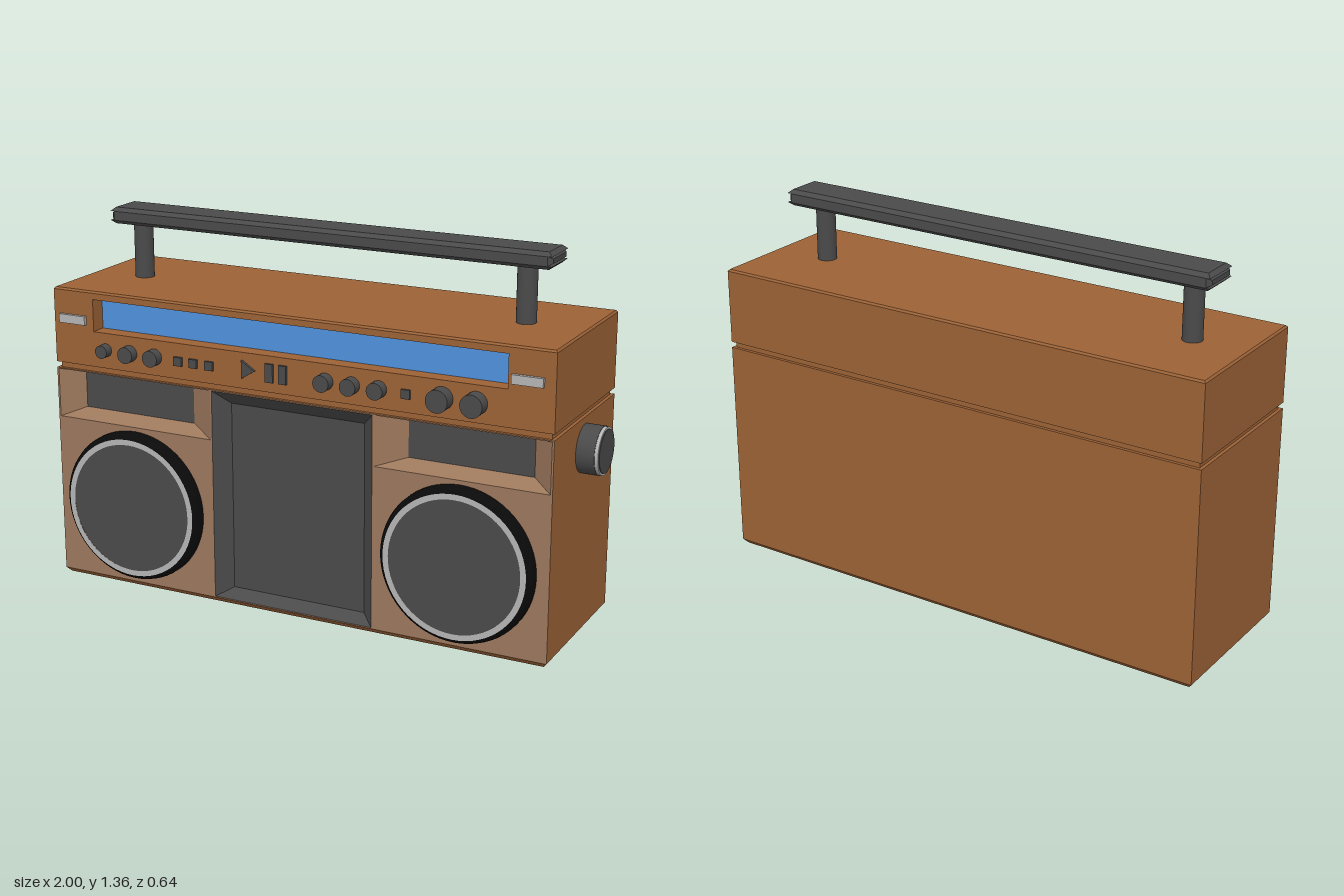
import * as THREE from 'three';

const mat = (color) => new THREE.MeshStandardMaterial({ color });
const CX = -0.04; // mirror line of the cabinet
const FRONT = 0.27, BACK = -0.32, INNER = 0.2;

export function createModel() {
  const model = new THREE.Group();
  const brown = mat(0x9c6236), tan = mat(0x9c775c), dark = mat(0x4a4a4a);
  const black = mat(0x0a0a0a), silver = mat(0xb4b4b4), blue = mat(0x4f92dd);

  const add = (name, geometry, material, x = 0, y = 0, z = 0) => {
    const mesh = new THREE.Mesh(geometry, material);
    mesh.name = name;
    mesh.position.set(x, y, z);
    model.add(mesh);
    return mesh;
  };

  // Box from its limits; its bottom or top outline can be drawn in as a chamfer
  const block = (name, material, [x0, x1], [y0, y1], [z0, z1], bottom = 0, top = 0) => {
    const g = new THREE.BoxGeometry(x1 - x0, y1 - y0, z1 - z0);
    const p = g.attributes.position;
    for (let i = 0; i < p.count; i++) {
      const inset = p.getY(i) < 0 ? bottom : top;
      p.setX(i, p.getX(i) - Math.sign(p.getX(i)) * inset);
      p.setZ(i, p.getZ(i) - Math.sign(p.getZ(i)) * inset);
    }
    g.computeVertexNormals();
    return add(name, g, material, (x0 + x1) / 2, (y0 + y1) / 2, (z0 + z1) / 2);
  };

  // Counterclockwise corners of a rectangle
  const corners = ([x0, x1, y0, y1]) =>
    [[x0, y0], [x1, y0], [x1, y1], [x0, y1]].map(([x, y]) => new THREE.Vector2(x, y));

  // Front plate with rectangular openings
  const plate = (name, outline, holes, face) => {
    const shape = new THREE.Shape(corners(outline));
    holes.forEach((h) => shape.holes.push(new THREE.Path(corners(h).reverse())));
    const g = new THREE.ExtrudeGeometry(shape, { depth: FRONT - INNER, bevelEnabled: false });
    add(name, g, [face, brown], 0, 0, INNER);
  };

  // Recess with four sloping walls and a flat back
  const recess = (name, outer, inner, depth, wallMaterial, backMaterial) => {
    const o = corners(outer), n = corners(inner), z = FRONT - depth, pos = [];
    for (let i = 0; i < 4; i++) {
      const j = (i + 1) % 4;
      const a = [o[i].x, o[i].y, FRONT], b = [o[j].x, o[j].y, FRONT];
      const c = [n[j].x, n[j].y, z], d = [n[i].x, n[i].y, z];
      pos.push(...a, ...b, ...c, ...a, ...c, ...d);
    }
    const g = new THREE.BufferGeometry();
    g.setAttribute('position', new THREE.Float32BufferAttribute(pos, 3));
    g.computeVertexNormals();
    add(name + 'Walls', g, wallMaterial);
    add(name + 'Back', new THREE.ShapeGeometry(new THREE.Shape(n)), backMaterial, 0, 0, z);
  };

  // Rectangle reflected across the cabinet's mirror line
  const flip = ([x0, x1, y0, y1]) => [2 * CX - x1, 2 * CX - x0, y0, y1];

  // Lower cabinet
  const W = [-1, 0.92];
  block('cabinetBase', brown, W, [0, 0.018], [BACK, FRONT], 0.015);
  block('lowerCabinet', brown, W, [0.018, 0.8], [BACK, INNER]);
  const nookOuter = [-0.993, -0.358, 0.615, 0.796], nookInner = [-0.915, -0.46, 0.645, 0.786];
  const bayOuter = [-0.352, 0.272, 0.022, 0.796], bayInner = [-0.3, 0.22, 0.05, 0.745];
  plate('lowerFront', [...W, 0.018, 0.8], [nookOuter, flip(nookOuter), bayOuter], tan);
  recess('rightNook', nookOuter, nookInner, 0.06, tan, dark);
  recess('leftNook', flip(nookOuter), flip(nookInner), 0.06, tan, dark);
  recess('centreBay', bayOuter, bayInner, 0.05, dark, dark);

  // Groove and upper cabinet
  block('groove', brown, [-0.988, 0.908], [0.8, 0.822], [BACK + 0.012, FRONT - 0.012]);
  block('upperCabinet', brown, W, [0.822, 1.093], [BACK, INNER]);
  block('cabinetTop', brown, W, [1.093, 1.1], [BACK, FRONT], 0, 0.006);
  const dial = [-0.835, 0.755, 0.952, 1.07];
  plate('upperFront', [...W, 0.822, 1.093], [dial], brown);
  add('dialDisplay', new THREE.ShapeGeometry(new THREE.Shape(corners(dial))), blue, 0, 0, 0.21);

  // Silver tabs beside the display
  block('rightTab', silver, [-0.973, -0.865], [0.974, 1.006], [0.26, 0.283]);
  block('leftTab', silver, [0.77, 0.88], [0.974, 1.006], [0.26, 0.283]);

  // Round speakers, turned from a profile and facing forward
  const lathe = (points) =>
    new THREE.LatheGeometry(points.map(([r, h]) => new THREE.Vector2(r, h)), 64).rotateX(Math.PI / 2);
  const flatRing = (rIn, rOut) => new THREE.RingGeometry(rIn, rOut, 64);
  for (const [side, x] of [['right', -0.675], ['left', 0.595]]) {
    const rim = lathe([[0.28, 0], [0.28, 0.018], [0.276, 0.03], [0.264, 0.044], [0.258, 0.045]]);
    add(side + 'SpeakerRim', rim, black, x, 0.32, FRONT);
    add(side + 'SpeakerRing', flatRing(0.24, 0.26), silver, x, 0.32, FRONT + 0.045);
    add(side + 'SpeakerGrille', new THREE.CircleGeometry(0.242, 64), dark, x, 0.32, FRONT + 0.042);
  }

  // Control row: round knobs, square buttons, play and pause keys
  const knobs = [[-0.785, 0.024, 0.035], [-0.685, 0.03, 0.035], [-0.582, 0.03, 0.035],
    [0.095, 0.03, 0.037], [0.195, 0.03, 0.037], [0.295, 0.03, 0.037],
    [0.525, 0.04, 0.048], [0.647, 0.04, 0.048]];
  for (const [x, r, d] of knobs) {
    const g = new THREE.CylinderGeometry(r, r, d, 32).rotateX(Math.PI / 2);
    add('knob', g, dark, x, 0.89, FRONT + d / 2);
  }
  for (const x of [-0.483, -0.421, -0.357, 0.396])
    block('squareButton', dark, [x - 0.016, x + 0.016], [0.871, 0.903], [0.26, 0.28]);
  for (const x of [-0.118, -0.066])
    block('pauseKey', dark, [x - 0.015, x + 0.015], [0.859, 0.925], [0.26, 0.28]);
  const triangle = new THREE.Shape([[-0.226, 0.859], [-0.174, 0.892], [-0.226, 0.925]]
    .map(([x, y]) => new THREE.Vector2(x, y)));
  add('playKey', new THREE.ExtrudeGeometry(triangle, { depth: 0.02, bevelEnabled: false }),
    dark, 0, 0, 0.26);

  // Large side knob on the model's left
  for (const [name, m, r, x0, x1] of [['sideKnob', dark, 0.085, 0.91, 0.985],
    ['sideKnobRing', silver, 0.083, 0.985, 0.997], ['sideKnobFace', dark, 0.076, 0.99, 1]]) {
    const g = new THREE.CylinderGeometry(r, r, x1 - x0, 48).rotateZ(-Math.PI / 2);
    add(name, g, m, (x0 + x1) / 2, 0.69, -0.023);
  }

  // Carrying handle: two posts and a chamfered bar
  for (const x of [-0.797, 0.7])
    add('handlePost', new THREE.CylinderGeometry(0.035, 0.035, 0.22, 32), dark, x, 1.2, -0.022);
  const b = 0.015; // chamfer
  const profile = new THREE.Shape(corners([-0.076 + b, 0.076 - b, -0.03 + b, 0.03 - b]));
  const bar = new THREE.ExtrudeGeometry(profile, {
    depth: 1.7 - 2 * b, bevelEnabled: true, bevelSegments: 1, bevelThickness: b, bevelSize: b,
  }).translate(0, 0, -0.85 + b).rotateY(Math.PI / 2);
  // Chamfer the long edges too: a wider, lower bar crossed with a narrower, taller one
  const p = bar.attributes.position;
  for (let i = 0; i < p.count; i++) p.setY(i, p.getY(i) * 0.55);
  bar.computeVertexNormals();
  add('handleBar', bar, dark, -0.04, 1.33, -0.024);
  for (const [name, s] of [['handleBarTop', 1], ['handleBarUnderside', -1]]) {
    const y = s > 0 ? [1.3465, 1.36] : [1.3, 1.3135];
    block(name, dark, [-0.89, 0.81], y, [-0.1, 0.052], s < 0 ? b : 0, s > 0 ? b : 0);
  }
  return model;
}
